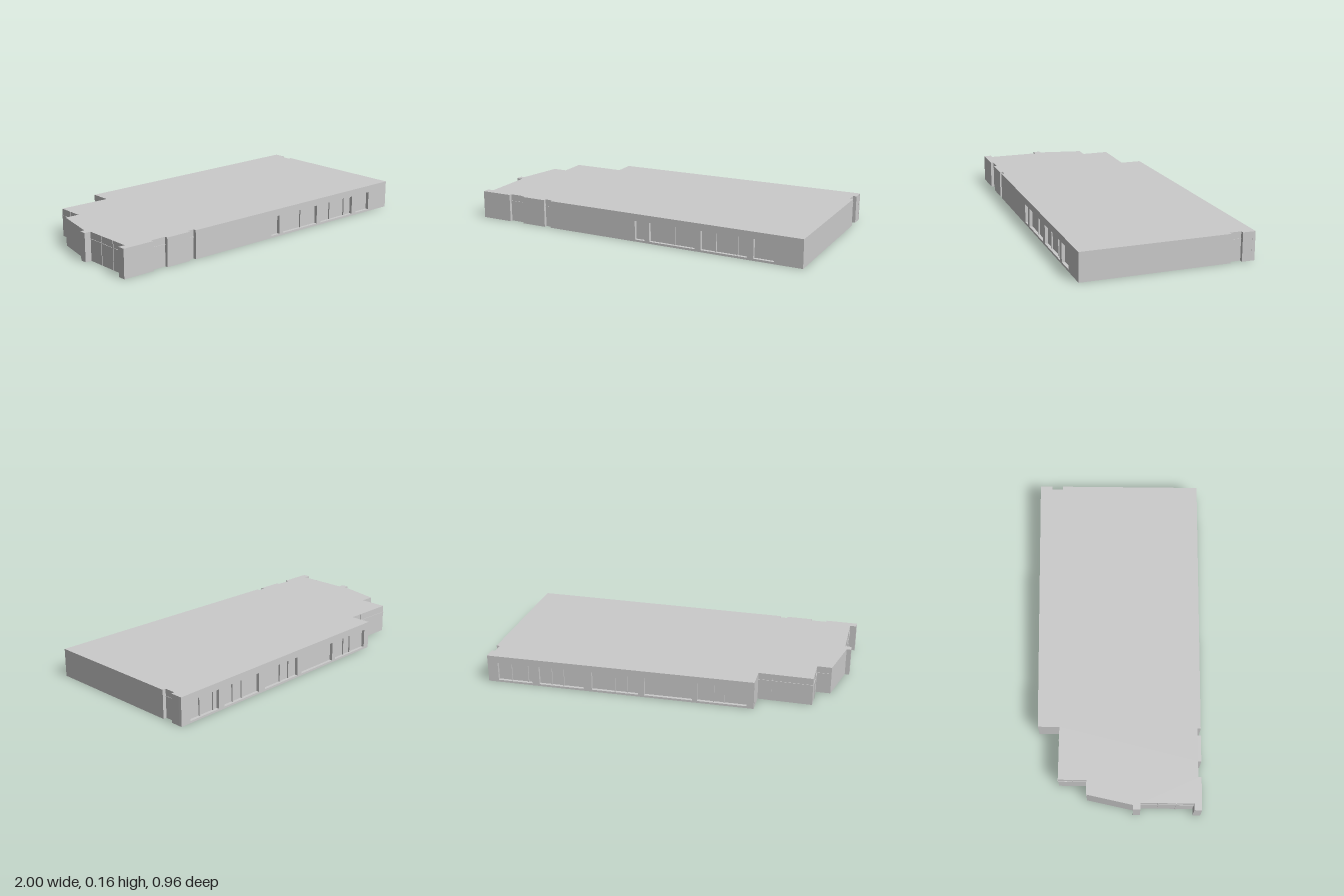
import * as THREE from 'three';

const HEIGHT = 0.16, RECESS = 0.018, SILL = 0.012, HEAD = 0.12;
const material = new THREE.MeshStandardMaterial({ color: 0xcccccc, flatShading: true });

function addMesh(parent, name, geometry) {
  const mesh = new THREE.Mesh(geometry, material);
  mesh.name = name;
  parent.add(mesh);
  return mesh;
}

function addBox(parent, name, w, h, d, x, y, z) {
  addMesh(parent, name, new THREE.BoxGeometry(w, h, d)).position.set(x, y, z);
}

// Group whose local x runs along the wall from a to b and whose local +z faces outward
function wallGroup(name, a, b) {
  const group = new THREE.Group();
  group.name = name;
  group.position.set(a[0], 0, a[1]);
  group.rotation.y = Math.atan2(a[1] - b[1], b[0] - a[0]);
  return { group, length: Math.hypot(b[0] - a[0], b[1] - a[1]) };
}

// Outer wall skin with window openings; each window is [start, end, ...mullions] along the wall
function windowWall(name, a, b, windows) {
  const { group, length } = wallGroup(name, a, b);
  const shape = new THREE.Shape([[0, 0], [length, 0], [length, HEIGHT], [0, HEIGHT]]
    .map(p => new THREE.Vector2(...p)));
  for (const [s, e] of windows) {
    shape.holes.push(new THREE.Path([[s, SILL], [s, HEAD], [e, HEAD], [e, SILL]]
      .map(p => new THREE.Vector2(...p))));
  }
  const skin = new THREE.ExtrudeGeometry(shape, { depth: RECESS, bevelEnabled: false });
  addMesh(group, 'wallSkin', skin.translate(0, 0, -RECESS));
  for (const [, , ...mullions] of windows) {
    for (const m of mullions) {
      addBox(group, 'mullion', 0.006, HEAD - SILL, 0.008, m, (SILL + HEAD) / 2, 0.004 - RECESS);
    }
  }
  return group;
}

// Slim transom and posts laid on a full-height glazed wall
function glazing(name, a, b, posts) {
  const { group, length } = wallGroup(name, a, b);
  addBox(group, 'transom', length, 0.004, 0.004, length / 2, HEAD, 0.001);
  for (const p of posts) {
    addBox(group, 'post', 0.004, HEIGHT, 0.004, p * length, HEIGHT / 2, 0.001);
  }
  return group;
}

export function createModel() {
  const building = new THREE.Group();
  building.name = 'building';

  // Main block: stepped footprint as [x, z], set back where the window walls go
  const front = 0.48, inner = front - RECESS;
  const footprint = [
    [-1, front], [-0.815, front], [-0.815, inner], [-0.725, inner], [-0.725, front],
    [-0.575, front], [-0.575, inner], [1, inner],
    [1, -0.345], [0.98, -0.345], [0.98, -0.41], [1, -0.41],
    [1, -0.482 + RECESS], [-0.535, -0.443 + RECESS],
    [-0.535, -0.32], [-0.838, -0.32], [-0.838, -0.16], [-0.92, -0.16],
    [-0.975, 0.1], [-1, 0.1], [-1, 0.14], [-0.963, 0.14], [-0.963, 0.437], [-1, 0.437],
  ];
  const plan = new THREE.Shape(footprint.map(([x, z]) => new THREE.Vector2(x, -z)));
  const block = new THREE.ExtrudeGeometry(plan, { depth: HEIGHT, bevelEnabled: false });
  addMesh(building, 'mainBlock', block.rotateX(-Math.PI / 2));

  // Front window wall, positions given in x
  const frontWindows = [
    [0.02, 0.08], [0.11, 0.385, 0.26], [0.42, 0.69, 0.505, 0.63], [0.725, 0.84],
  ].map(w => w.map(x => x + 0.535));
  building.add(windowWall('frontWall', [-0.535, front], [1, front], frontWindows));

  // Slightly skewed rear window wall, running from the left end
  const rearWindows = [
    [0.94, 0.736, 0.863, 0.765], [0.694, 0.433, 0.623, 0.553], [0.384, 0.116, 0.25, 0.18],
    [0.08, -0.193], [-0.22, -0.495, -0.31, -0.37],
  ].map(w => w.map(x => 1 - x));
  building.add(windowWall('rearWall', [1, -0.482], [-0.535, -0.443], rearWindows));

  // Glazed bays and steps
  const bays = [
    ['frontWideBay', [-0.815, inner], [-0.725, inner], []],
    ['frontNarrowBay', [-0.575, inner], [-0.535, inner], []],
    ['leftBay', [0.98, -0.345], [0.98, -0.41], []],
    ['rearStepGlazing', [-0.535, -0.32], [-0.838, -0.32], [0.25]],
    ['sideStepGlazing', [-0.838, -0.32], [-0.838, -0.16], [0.5]],
    ['cornerStepGlazing', [-0.838, -0.16], [-0.92, -0.16], []],
    ['rightBayGlazing', [-0.963, 0.14], [-0.963, 0.437], [0.33, 0.67]],
  ];
  for (const bay of bays) building.add(glazing(...bay));

  return building;
}
